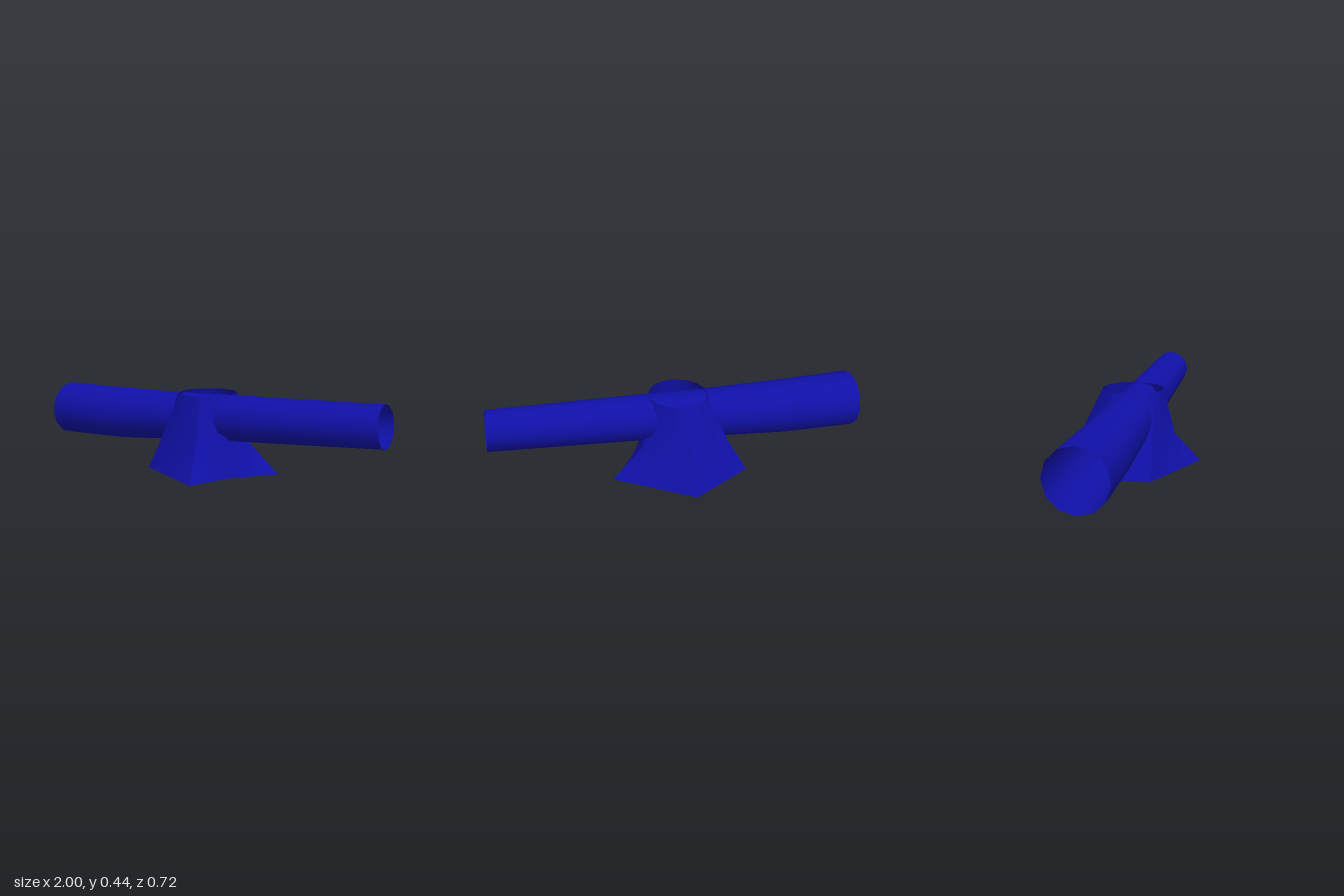
import * as THREE from 'three';
import { toCreasedNormals } from 'three/addons/utils/BufferGeometryUtils.js';

// Open skin through closed rings of equal point count
function loft(rings, crease) {
  const n = rings[0].length, pos = [], index = [];
  rings.forEach(r => r.forEach(p => pos.push(p.x, p.y, p.z)));
  for (let i = 0; i < rings.length - 1; i++) {
    for (let j = 0; j < n; j++) {
      const k = (j + 1) % n;
      const a = i * n + j, b = i * n + k, c = a + n, d = b + n;
      index.push(a, c, b, b, c, d);
    }
  }
  const g = new THREE.BufferGeometry();
  g.setAttribute('position', new THREE.Float32BufferAttribute(pos, 3));
  g.setIndex(index);
  return toCreasedNormals(g, crease);
}

export function createModel() {
  const group = new THREE.Group();
  const blue = new THREE.MeshStandardMaterial({ color: 0x1010a8, side: THREE.DoubleSide });
  blue.name = 'deep blue';

  // Long tapered pipe, open at both ends: x, centre y, centre z, radius
  const stations = [
    [-1, 0.243, 0.008, 0.152],
    [-0.6, 0.249, 0.01, 0.146],
    [-0.2, 0.27, 0.015, 0.131],
    [0.15, 0.291, 0.021, 0.122],
    [0.99, 0.335, 0.03, 0.105],
  ];
  const sides = 12;
  const pipeRings = stations.map(([x, cy, cz, r], i) =>
    Array.from({ length: sides }, (_, j) => {
      const t = j / sides * Math.PI * 2;
      // the narrow end is cut square to the rising axis
      const lean = i === stations.length - 1 ? 0.008 * Math.cos(t) : 0;
      return new THREE.Vector3(x + lean, cy - r * Math.cos(t), cz + r * Math.sin(t));
    }));
  const pipe = new THREE.Mesh(loft(pipeRings, 0.9), blue);
  pipe.name = 'pipe';
  group.add(pipe);

  // Flared stand: six uneven foot corners, a waist and a round collar
  const foot = [[0, -0.36], [0.38, -0.08], [0.22, 0.1], [0.125, 0.357], [-0.28, 0.17], [-0.33, -0.18]];
  const waist = [[0, -0.278], [0.21, -0.06], [0.175, 0.11], [0.07, 0.225], [-0.205, 0.155], [-0.24, -0.135]];
  const perEdge = 3;
  const outline = (corners, y) => corners.flatMap(([x, z], i) => {
    const [nx, nz] = corners[(i + 1) % corners.length];
    return Array.from({ length: perEdge }, (_, s) => {
      const f = s / perEdge;
      return new THREE.Vector3(x + (nx - x) * f, y, z + (nz - z) * f);
    });
  });
  const low = outline(foot, 0);
  const collar = low.map(p => {
    const t = Math.atan2(p.z, p.x);
    return new THREE.Vector3(0.152 * Math.cos(t), 0.413, 0.01 + 0.162 * Math.sin(t));
  });
  const stand = new THREE.Mesh(loft([low, outline(waist, 0.16), collar], 0.6), blue);
  stand.name = 'stand';
  group.add(stand);

  return group;
}
